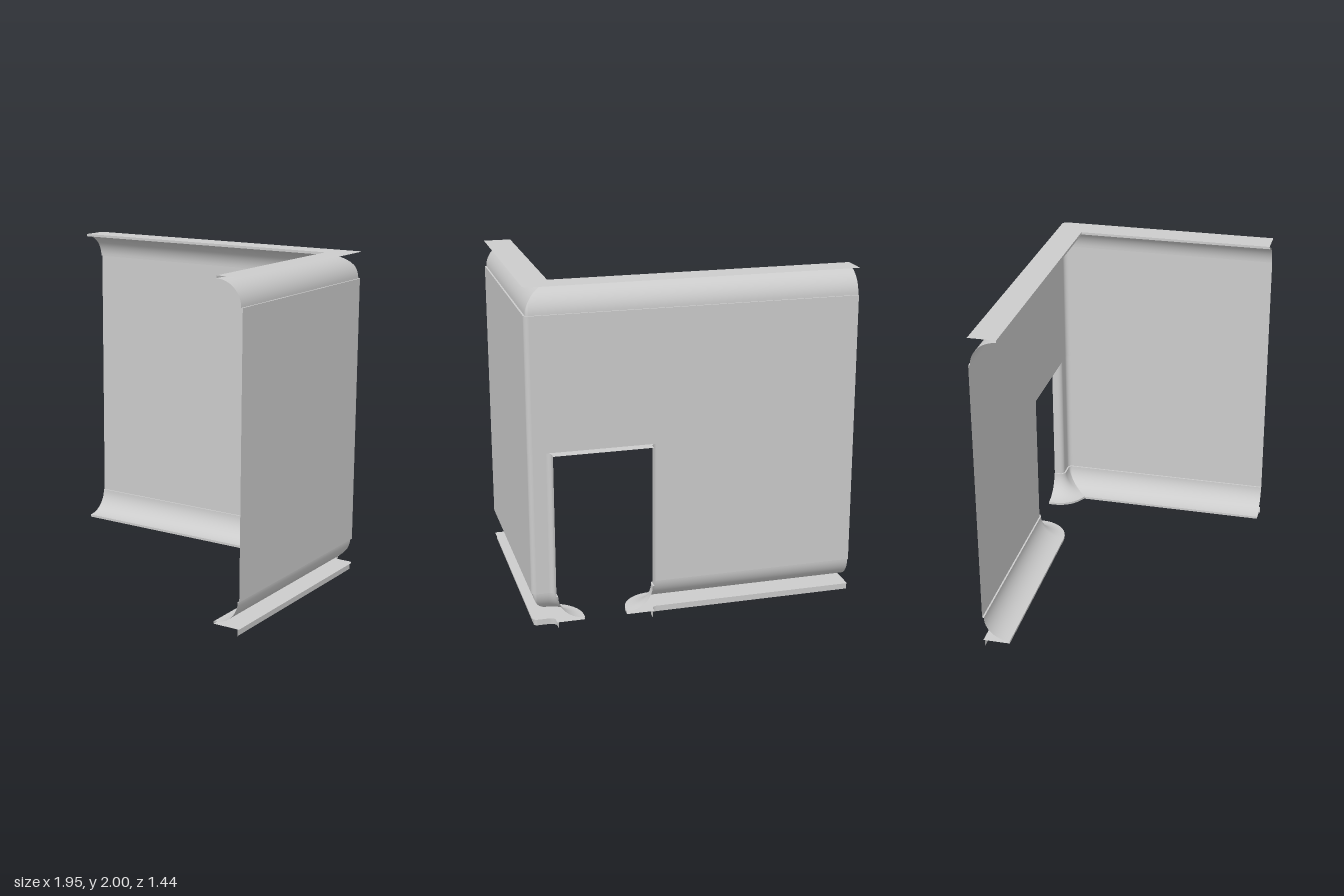
import * as THREE from 'three';

const X = 0.97, Z = -0.655;             // planes of the side wall and back wall
const LEFT = -0.975, FRONT = 0.72, BACK = -0.72;
const DOOR = [0.26, 0.84], DOOR_TOP = 1.05, FILLET = 0.03, CORNER = 0.03;
const STEP = 0.01, DEPTH = 0.165;       // cove start and end, measured inward from the wall
const N = 10;

const material = new THREE.MeshStandardMaterial({ color: 0xcccccc, side: THREE.DoubleSide });

// Plan outlines, each offset by d towards the room; point counts do not depend on d
function cornerOutline(d) {
  const m = Math.max(CORNER, d), r = m - d, points = [];
  for (let i = 0; i <= N; i++) {
    const a = (i / N) * Math.PI / 2;
    points.push([X - m + r * Math.sin(a), Z + m - r * Math.cos(a)]);
  }
  return [...points, [X - d, FRONT]];
}

function backAndSide(d) {
  return [[LEFT, Z + d], ...cornerOutline(d)];
}

function leftOfDoor(d) {
  const points = [[LEFT, Z + d]], r = FILLET + d;
  for (let i = 0; i <= N; i++) {
    const a = (i / N) * Math.PI / 2;
    points.push([DOOR[0] - FILLET + r * Math.sin(a), Z - FILLET + r * Math.cos(a)]);
  }
  return [...points, [DOOR[0] + d, BACK]];
}

function rightOfDoor(d) {
  const points = [[DOOR[1] - d, BACK]], r = FILLET + d, limit = X - Math.max(CORNER, d);
  for (let i = 0; i <= N; i++) {
    const a = (i / N) * Math.PI / 2;
    points.push([
      Math.min(limit, DOOR[1] + FILLET - r * Math.cos(a)),
      Z - FILLET + r * Math.sin(a)
    ]);
  }
  return [...points, ...cornerOutline(d)];
}

// Sheet swept along an outline; profile is a list of [inward offset, height]
function sweep(name, outline, profile) {
  const rows = profile.map(([d, y]) => outline(d).map(([x, z]) => [x, y, z]));
  const count = rows[0].length, index = [];
  for (let j = 0; j < rows.length - 1; j++) {
    for (let i = 0; i < count - 1; i++) {
      const a = j * count + i, b = a + count;
      index.push(a, b, a + 1, a + 1, b, b + 1);
    }
  }
  const geometry = new THREE.BufferGeometry();
  geometry.setAttribute('position', new THREE.Float32BufferAttribute(rows.flat(2), 3));
  geometry.setIndex(index);
  geometry.computeVertexNormals();
  const mesh = new THREE.Mesh(geometry, material);
  mesh.name = name;
  return mesh;
}

// Quarter curve from the wall at height y0 to the trim edge at height y1
function coveProfile(y0, y1) {
  return Array.from({ length: 17 }, (_, i) => {
    const a = (i / 16) * Math.PI / 2;
    return [STEP + (DEPTH - STEP) * (1 - Math.cos(a)), y0 + (y1 - y0) * Math.sin(a)];
  });
}

function cove(name, outline, wallY, edgeY, flangeY) {
  const group = new THREE.Group();
  group.name = name;
  group.add(
    sweep('coveLedge', outline, [[0, wallY], [STEP, wallY]]),
    sweep('coveCurve', outline, coveProfile(wallY, edgeY)),
    sweep('coveLip', outline, [[DEPTH, edgeY], [DEPTH, flangeY]]),
    sweep('coveFlange', outline, [[DEPTH, flangeY], [0, flangeY]])
  );
  return group;
}

// Flat soffit over the doorway, following the rounded jambs
function doorHead() {
  const left = leftOfDoor(0).slice(1), right = rightOfDoor(0).slice(0, N + 2);
  const shape = new THREE.Shape([...left, ...right].map(([x, z]) => new THREE.Vector2(x, -z)));
  const mesh = new THREE.Mesh(new THREE.ShapeGeometry(shape), material);
  mesh.rotation.x = -Math.PI / 2;
  mesh.position.y = DOOR_TOP;
  mesh.name = 'doorHead';
  return mesh;
}

export function createModel() {
  const model = new THREE.Group();
  model.name = 'cornerWall';

  // Upper wall and ceiling cove
  model.add(
    sweep('upperWall', backAndSide, [[0, DOOR_TOP], [0, 1.84]]),
    cove('ceilingCove', backAndSide, 1.84, 1.985, 2),
    doorHead()
  );

  // Lower wall, floor cove and base strip on each side of the doorway
  for (const [side, outline] of [['left', leftOfDoor], ['right', rightOfDoor]]) {
    model.add(
      sweep(side + 'LowerWall', outline, [[0, 0.2], [0, DOOR_TOP]]),
      cove(side + 'FloorCove', outline, 0.2, 0.055, 0.04),
      sweep(side + 'BaseStrip', outline, [[STEP, 0.04], [STEP, 0]])
    );
  }
  return model;
}
